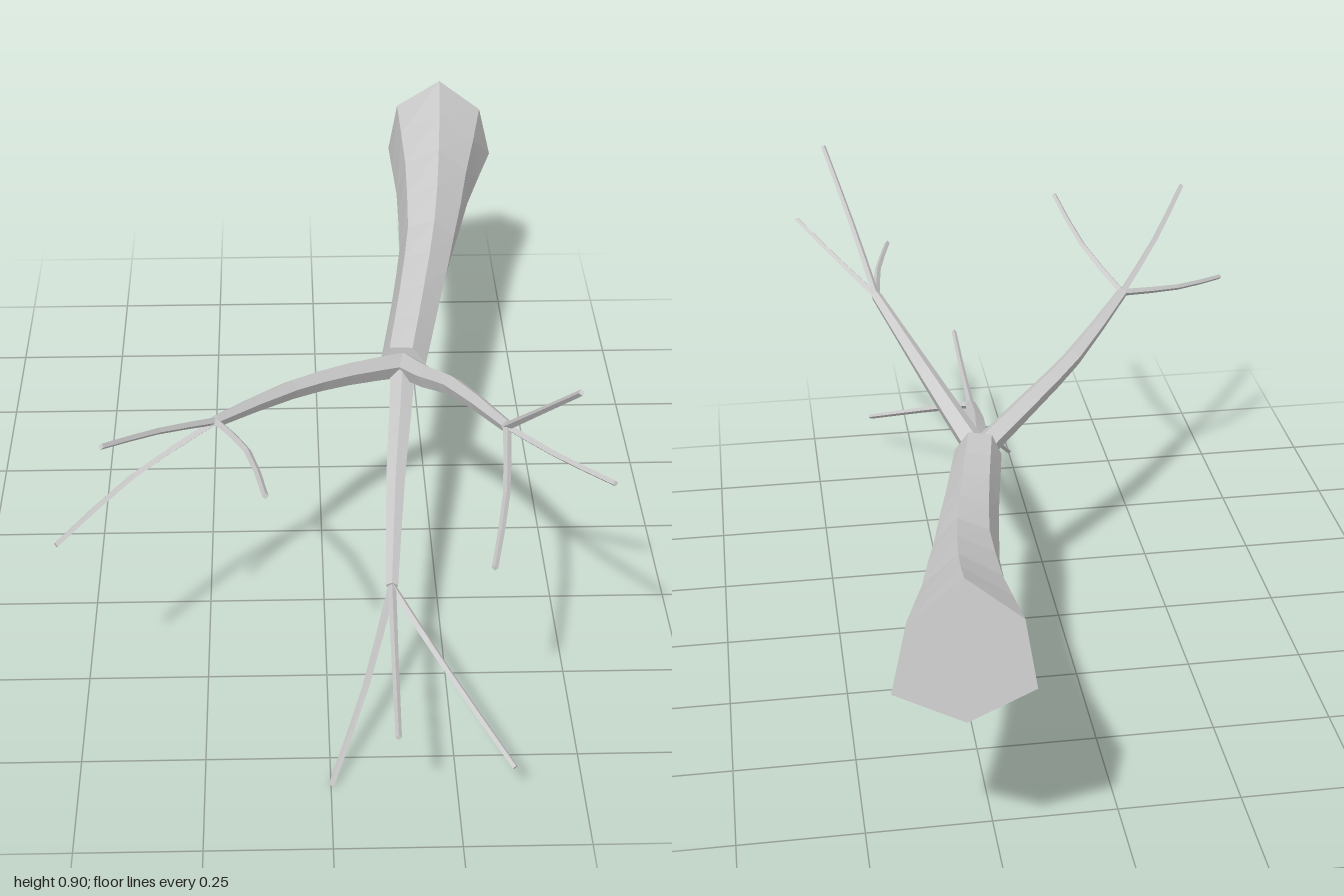
import * as THREE from 'three';

const material = new THREE.MeshStandardMaterial({ color: 0xcccccc, flatShading: true });

// Tapered limb: rings swept along a smooth path, closed at both ends.
// lobes scales the corners of the first ring and fades out towards the tip.
function limb(name, points, radii, { sides, steps, phase = Math.PI / 2, twist = 0, lobes = null }) {
  const curve = new THREE.CatmullRomCurve3(points.map(p => new THREE.Vector3(...p)));
  const up = new THREE.Vector3(0, 1, 0);
  const pos = [], index = [];
  for (let i = 0; i <= steps; i++) {
    const t = i / steps;
    const c = curve.getPoint(t), dir = curve.getTangent(t);
    const u = new THREE.Vector3().crossVectors(up, dir).normalize();
    const v = new THREE.Vector3().crossVectors(dir, u);
    const f = t * (radii.length - 1), k = Math.min(Math.floor(f), radii.length - 2);
    const r = THREE.MathUtils.lerp(radii[k], radii[k + 1], f - k);
    for (let j = 0; j < sides; j++) {
      const a = phase + twist * t + (j / sides) * Math.PI * 2;
      const s = lobes ? THREE.MathUtils.lerp(lobes[j], 1, t) : 1;
      const p = c.clone().addScaledVector(u, Math.cos(a) * r * s).addScaledVector(v, Math.sin(a) * r * s);
      pos.push(p.x, p.y, p.z);
    }
  }
  for (let i = 0; i < steps; i++) {
    for (let j = 0; j < sides; j++) {
      const n = (j + 1) % sides;
      const a = i * sides + j, b = i * sides + n;
      index.push(a, b, b + sides, a, b + sides, a + sides);
    }
  }
  // end caps
  const last = steps * sides;
  for (let j = 1; j < sides - 1; j++) {
    index.push(0, j + 1, j, last, last + j, last + j + 1);
  }
  const indexed = new THREE.BufferGeometry();
  indexed.setAttribute('position', new THREE.Float32BufferAttribute(pos, 3));
  indexed.setIndex(index);
  const geometry = indexed.toNonIndexed();
  geometry.computeVertexNormals();
  const mesh = new THREE.Mesh(geometry, material);
  mesh.name = name;
  return mesh;
}

const fork = [0.18, 0.445, -0.02];

// Each branch: its path from the fork, then the middle and end of its twigs
const branches = [
  {
    name: 'rightBranch',
    path: [[0.05, 0.5, 0.1], [-0.07, 0.546, 0.225], [-0.22, 0.61, 0.43]],
    twigs: [
      [[-0.325, 0.685, 0.57], [-0.42, 0.76, 0.725]],
      [[-0.38, 0.565, 0.55], [-0.52, 0.52, 0.707]],
      [[-0.155, 0.665, 0.61], [-0.12, 0.717, 0.825]],
    ],
  },
  {
    name: 'leftBranch',
    path: [[0.225, 0.49, 0.1], [0.27, 0.54, 0.21], [0.355, 0.62, 0.475]],
    twigs: [
      [[0.395, 0.745, 0.61], [0.448, 0.893, 0.765]],
      [[0.43, 0.655, 0.62], [0.52, 0.705, 0.785]],
      [[0.335, 0.605, 0.68], [0.295, 0.592, 0.885]],
    ],
  },
  {
    name: 'lowerBranch',
    path: [[0.167, 0.415, 0.13], [0.15, 0.37, 0.29], [0.13, 0.285, 0.555]],
    twigs: [
      [[0.073, 0.138, 0.69], [0, 0.007, 0.835]],
      [[0.235, 0.2, 0.72], [0.355, 0.107, 0.895]],
      [[0.125, 0.28, 0.78], [0.12, 0.288, 1]],
    ],
  },
];

export function createModel() {
  const tree = new THREE.Group();
  tree.name = 'tree';

  // flared trunk
  tree.add(limb('trunk',
    [[0.32, 0.54, -0.98], [0.295, 0.505, -0.75], [0.265, 0.475, -0.5], [0.222, 0.457, -0.25], fork],
    [0.135, 0.095, 0.068, 0.057, 0.051],
    { sides: 6, steps: 8, twist: -0.42, lobes: [1.04, 0.9, 1.08, 1, 1.14, 0.88] }));

  // three branches, each ending in three twigs
  for (const { name, path, twigs } of branches) {
    const group = new THREE.Group();
    group.name = name;
    group.add(limb(name + 'Limb', [fork, ...path], [0.029, 0.025, 0.021, 0.013], { sides: 5, steps: 6 }));
    const tip = path[path.length - 1];
    twigs.forEach((twig, i) => group.add(limb(name + 'Twig' + (i + 1), [tip, ...twig],
      [0.0085, 0.007, 0.006], { sides: 4, steps: 4 })));
    tree.add(group);
  }
  return tree;
}
